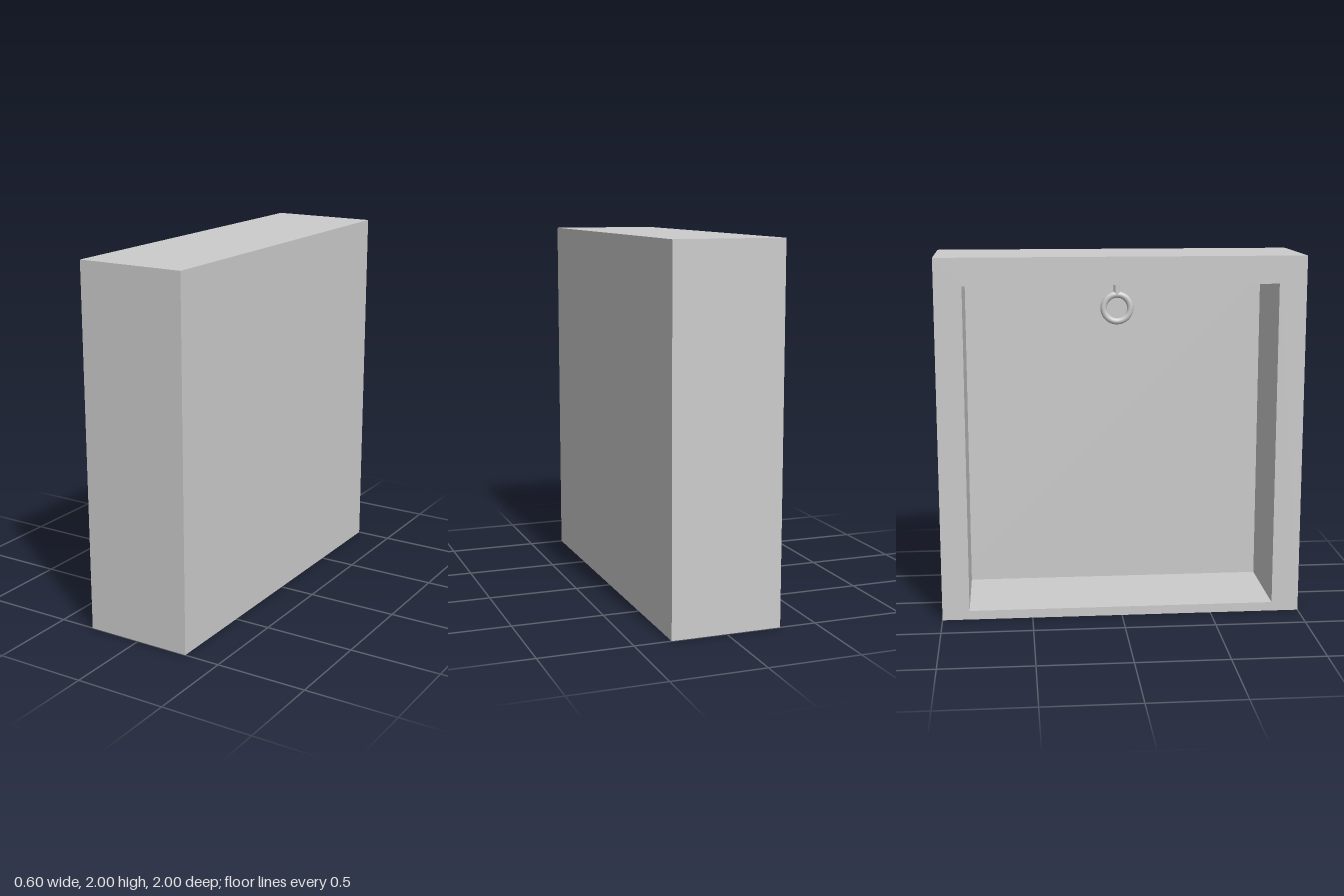
import * as THREE from 'three';

const material = new THREE.MeshStandardMaterial({ color: 0xcccccc });

function addPart(group, name, geometry, x = 0, y = 0, z = 0) {
  const mesh = new THREE.Mesh(geometry, material);
  mesh.name = name;
  mesh.position.set(x, y, z);
  group.add(mesh);
  return mesh;
}

function rectangle(path, z0, y0, z1, y1) {
  path.moveTo(z0, y0).lineTo(z1, y0).lineTo(z1, y1).lineTo(z0, y1).closePath();
  return path;
}

export function createModel() {
  const group = new THREE.Group();
  group.name = 'openBox';

  const panelX = 0.245; // inner face of the closed side
  const ceiling = 1.85;

  // Surround: thick top and ends, thin floor, open towards -x
  const outline = rectangle(new THREE.Shape(), -1, 0, 1, 2);
  outline.holes.push(rectangle(new THREE.Path(), -0.85, 0.05, 0.85, ceiling));
  const surround = new THREE.ExtrudeGeometry(outline, { depth: panelX + 0.3, bevelEnabled: false });
  surround.rotateY(-Math.PI / 2);
  addPart(group, 'surround', surround, panelX, 0, 0);

  // Thin panel closing the +x side
  const thickness = 0.3 - panelX;
  addPart(group, 'backPanel', new THREE.BoxGeometry(thickness, 2, 2), panelX + thickness / 2, 1, 0);

  // Small ring hanging from the ceiling on a short stem
  const ringX = 0.03, ringY = 1.69, radius = 0.075, tube = 0.018;
  const ring = new THREE.TorusGeometry(radius, tube, 12, 40);
  ring.rotateY(Math.PI / 2);
  addPart(group, 'hangingRing', ring, ringX, ringY, 0);

  const stemHeight = ceiling - ringY - radius;
  const stem = new THREE.CylinderGeometry(tube, tube, stemHeight, 16);
  addPart(group, 'ringStem', stem, ringX, ceiling - stemHeight / 2, 0);

  return group;
}
